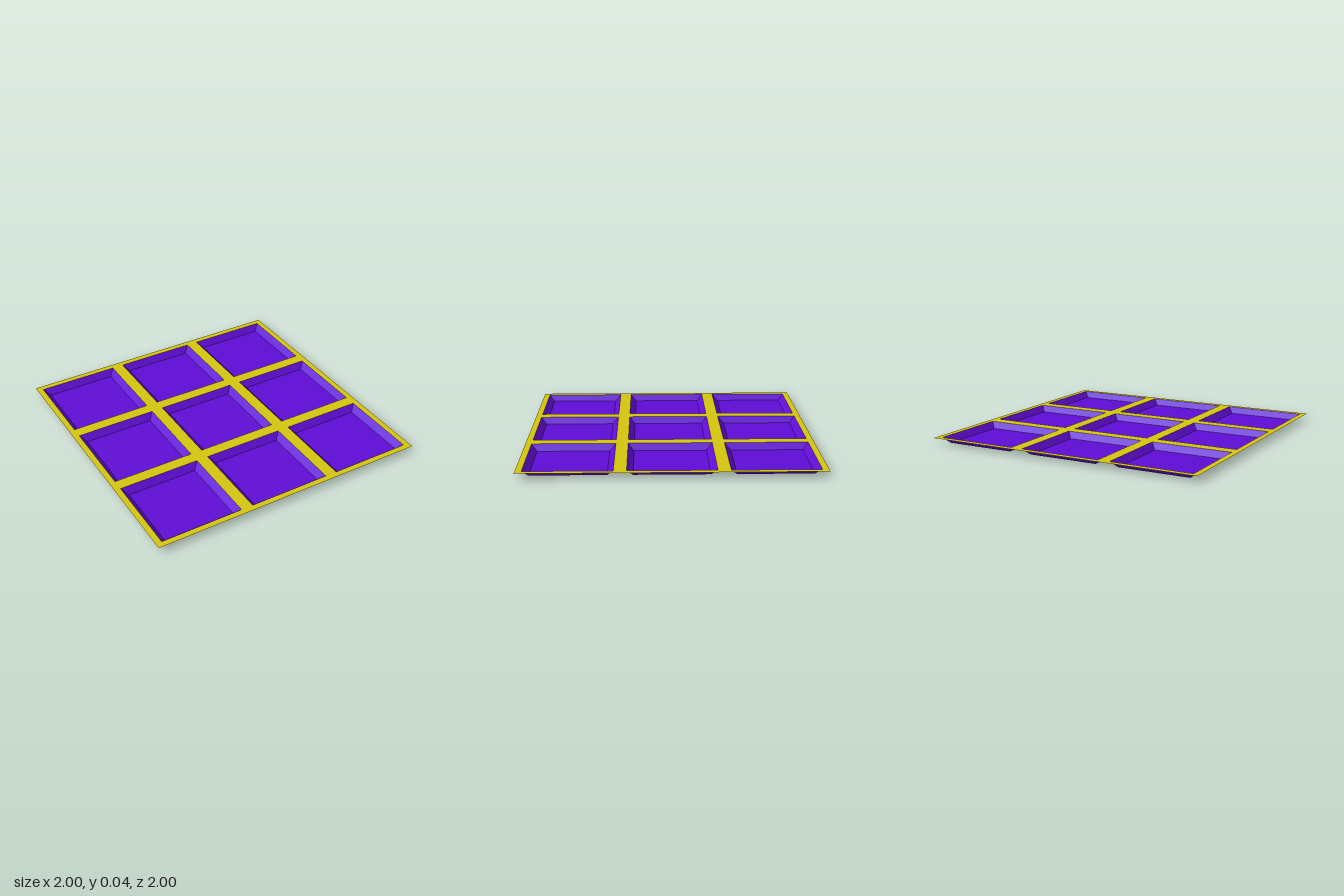
import * as THREE from 'three';

const DEPTH = 0.042;   // recess depth
const RIM = 0.291;     // half width of a tray at the top
const FLOOR = 0.25;    // half width of a tray floor
const PITCH = 0.6665;  // spacing between trays

export function createModel() {
  const yellow = new THREE.MeshStandardMaterial({ color: 0xd6c60f, side: THREE.DoubleSide });
  yellow.name = 'yellow';
  const purple = new THREE.MeshStandardMaterial({ color: 0x600dd6, side: THREE.DoubleSide });
  purple.name = 'purple';

  const model = new THREE.Group();
  model.name = 'coffered panel';
  const cells = [-PITCH, 0, PITCH];

  // Square outline centred on a point
  const square = (PathType, x, y, h) => new PathType([
    new THREE.Vector2(x - h, y - h), new THREE.Vector2(x + h, y - h),
    new THREE.Vector2(x + h, y + h), new THREE.Vector2(x - h, y + h),
  ]);

  // Flat lattice with nine square openings
  const outline = square(THREE.Shape, 0, 0, 1);
  for (const x of cells) for (const y of cells) outline.holes.push(square(THREE.Path, x, y, RIM));
  const lattice = new THREE.Mesh(new THREE.ShapeGeometry(outline).rotateX(-Math.PI / 2), yellow);
  lattice.name = 'lattice';
  lattice.position.y = DEPTH;
  model.add(lattice);

  // Sloping sides of a tray: an open four-sided frustum with flat faces
  const sides = new THREE.CylinderGeometry(RIM * Math.SQRT2, FLOOR * Math.SQRT2, DEPTH, 4, 1, true)
    .rotateY(Math.PI / 4).translate(0, DEPTH / 2, 0).toNonIndexed();
  sides.computeVertexNormals();
  const base = new THREE.PlaneGeometry(FLOOR * 2, FLOOR * 2).rotateX(-Math.PI / 2);

  // Nine recessed trays
  for (const x of cells) for (const z of cells) {
    const tray = new THREE.Group();
    tray.name = 'tray';
    const walls = new THREE.Mesh(sides, purple);
    walls.name = 'trayWalls';
    const floor = new THREE.Mesh(base, purple);
    floor.name = 'trayFloor';
    tray.add(walls, floor);
    tray.position.set(x, 0, z);
    model.add(tray);
  }
  return model;
}
